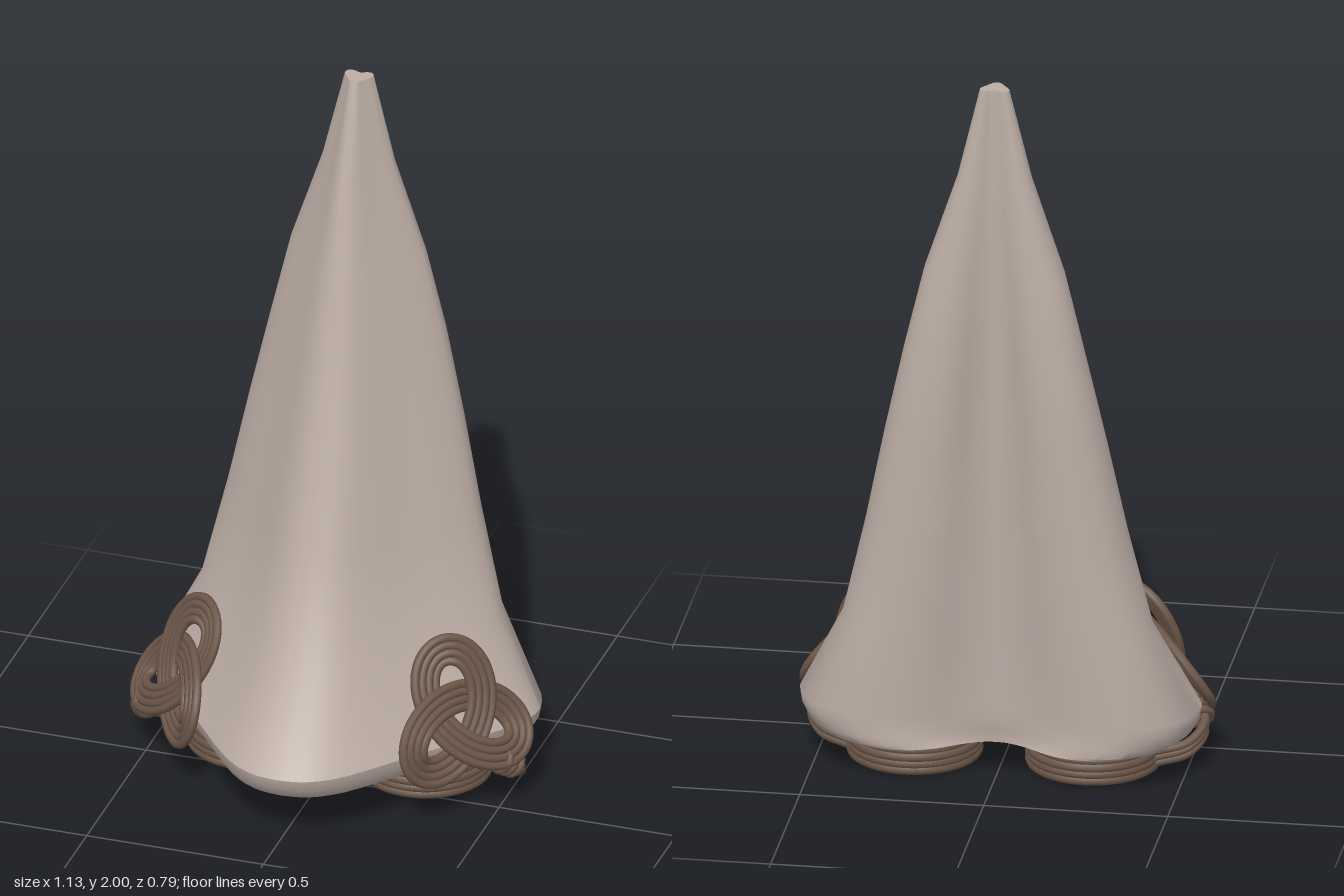
import * as THREE from 'three';
import { toCreasedNormals } from 'three/addons/utils/BufferGeometryUtils.js';

const skin = new THREE.MeshStandardMaterial({ color: 0xbcada5 });
const cord = new THREE.MeshStandardMaterial({ color: 0x6b5648 });
const glass = new THREE.MeshStandardMaterial({ color: 0x8599ae });

// Body rows: height, half width, back z, front z, z of the groove at the back
const ROWS = [
  [0.10, 0.43, -0.385, 0.25, -0.29],
  [0.11, 0.475, -0.39, 0.305, -0.29],
  [0.135, 0.52, -0.39, 0.355, -0.295],
  [0.17, 0.54, -0.39, 0.383, -0.30],
  [0.20, 0.545, -0.39, 0.39, -0.30],
  [0.45, 0.42, -0.39, 0.19, -0.31],
  [0.73, 0.355, -0.39, 0.095, -0.315],
  [1.00, 0.30, -0.39, 0.01, -0.32],
  [1.25, 0.245, -0.388, -0.06, -0.325],
  [1.48, 0.19, -0.367, -0.12, -0.33],
  [1.75, 0.10, -0.345, -0.185, -0.333],
  [2.00, 0.04, -0.327, -0.26, -0.32],
];

// Heart-shaped outline of one row, from the back groove round by +x
function section([y, w, back, front, groove]) {
  const d = front - back, n = (groove - back) / d;
  const half = new THREE.CatmullRomCurve3([
    [0, n], [0.07, n * 0.96], [0.2, n * 0.7], [0.35, n * 0.25], [0.5, 0], [0.72, 0], [0.92, 0.085],
    [1, 0.24], [0.94, 0.36], [0.6, 0.65], [0.28, 0.92], [0.13, 0.985], [0, 1],
  ].map(([u, v]) => new THREE.Vector3(u * w, y, back + v * d))).getPoints(40);
  const mirrored = half.slice(1, -1).reverse().map(p => new THREE.Vector3(-p.x, p.y, p.z));
  return [...half, ...mirrored];
}

function bodyGeometry() {
  const rings = ROWS.map(section), n = rings[0].length;
  const pos = rings.flat().flatMap(p => [p.x, p.y, p.z]);
  const index = [];
  for (let j = 0; j < rings.length - 1; j++) {
    for (let i = 0; i < n; i++) {
      const k = (i + 1) % n, a = j * n + i, b = j * n + k;
      index.push(a, a + n, b + n, a, b + n, b);
    }
  }
  // Underside and tip closed with fans
  const low = pos.length / 3, top = low + 1, last = (rings.length - 1) * n;
  pos.push(0, 0.10, -0.12, 0, 2, -0.295);
  for (let i = 0; i < n; i++) {
    const k = (i + 1) % n;
    index.push(low, i, k, top, last + k, last + i);
  }
  const g = new THREE.BufferGeometry();
  g.setAttribute('position', new THREE.Float32BufferAttribute(pos, 3));
  g.setIndex(index);
  return toCreasedNormals(g, 0.6);
}

function add(parent, name, geometry, material) {
  const mesh = new THREE.Mesh(geometry, material);
  mesh.name = name;
  parent.add(mesh);
  return mesh;
}

function tube(points, radius, segments, closed) {
  return new THREE.TubeGeometry(new THREE.CatmullRomCurve3(points, closed), segments, radius, 8, closed);
}

// Three-lobed knot lying on the flank, one strand shifted sideways by offset
function knotStrand(side, offset) {
  const centre = new THREE.Vector3(0.4, 0.275, 0.03);
  const u = new THREE.Vector3(0.63, 0, -0.78).normalize();
  const n = new THREE.Vector3(0.7, 0.4, 0.57).normalize();
  const v = n.clone().cross(u).normalize();
  const points = [], size = 0.066;
  for (let i = 0; i < 72; i++) {
    const t = i / 72 * Math.PI * 2;
    const dx = Math.cos(t) + 4 * Math.cos(2 * t), dy = Math.sin(t) - 4 * Math.sin(2 * t);
    const len = Math.hypot(dx, dy);
    const a = size * (Math.sin(t) + 2 * Math.sin(2 * t)) - offset * dy / len;
    const b = size * (2 * Math.cos(2 * t) - Math.cos(t)) + offset * dx / len;
    const p = centre.clone().addScaledVector(u, a).addScaledVector(v, b)
      .addScaledVector(n, -0.016 * Math.sin(3 * t));
    p.x *= side;
    points.push(p);
  }
  return tube(points, 0.0125, 144, true);
}

export function createModel() {
  const model = new THREE.Group();
  model.name = 'noseWithEyepieces';
  add(model, 'noseBody', bodyGeometry(), skin);

  for (const side of [1, -1]) {
    const label = side > 0 ? 'left' : 'right';

    // Round eyepiece under the nostril
    const eyepiece = new THREE.Group();
    eyepiece.name = label + 'Eyepiece';
    eyepiece.position.set(side * 0.243, 0, -0.147);
    model.add(eyepiece);
    const lens = add(eyepiece, 'lens', new THREE.CylinderGeometry(0.155, 0.155, 0.095, 40), glass);
    lens.position.y = 0.06;
    for (let i = 0; i < 4; i++) {
      const ring = add(eyepiece, 'rimCoil', new THREE.TorusGeometry(i === 3 ? 0.165 : 0.17, 0.0145, 8, 48), cord);
      ring.rotation.x = Math.PI / 2;
      ring.position.y = 0.0145 + i * 0.0185;
    }

    // Knot ornament
    const knot = new THREE.Group();
    knot.name = label + 'KnotOrnament';
    model.add(knot);
    for (const offset of [-0.042, -0.021, 0, 0.021]) add(knot, 'knotStrand', knotStrand(side, offset), cord);

    // Cords tying the knot to the eyepiece rim
    const tie = new THREE.Group();
    tie.name = label + 'TieCord';
    model.add(tie);
    for (let i = 0; i < 3; i++) {
      const o = (i - 1) * 0.02;
      const path = [
        [0.45, 0.17 + o, 0.03], [0.51, 0.13 + o, -0.03], [0.535, 0.095 + o * 0.8, -0.08],
        [0.50, 0.055 + o * 0.8, -0.14], [0.41, 0.04 + o * 0.8, -0.19],
      ].map(([x, y, z]) => new THREE.Vector3(side * x, y, z));
      add(tie, 'tieStrand', tube(path, 0.012, 32, false), cord);
    }
    // Wraps round the tie
    const along = new THREE.Vector3(side * 0.4, -0.5, -0.8).normalize();
    for (let i = 0; i < 3; i++) {
      const wrap = add(tie, 'tieWrap', new THREE.TorusGeometry(0.03, 0.012, 8, 20), cord);
      wrap.quaternion.setFromUnitVectors(new THREE.Vector3(0, 0, 1), along);
      wrap.position.set(side * (0.5 + i * 0.009), 0.14 - i * 0.014, -0.015 - i * 0.02);
    }
  }
  return model;
}
